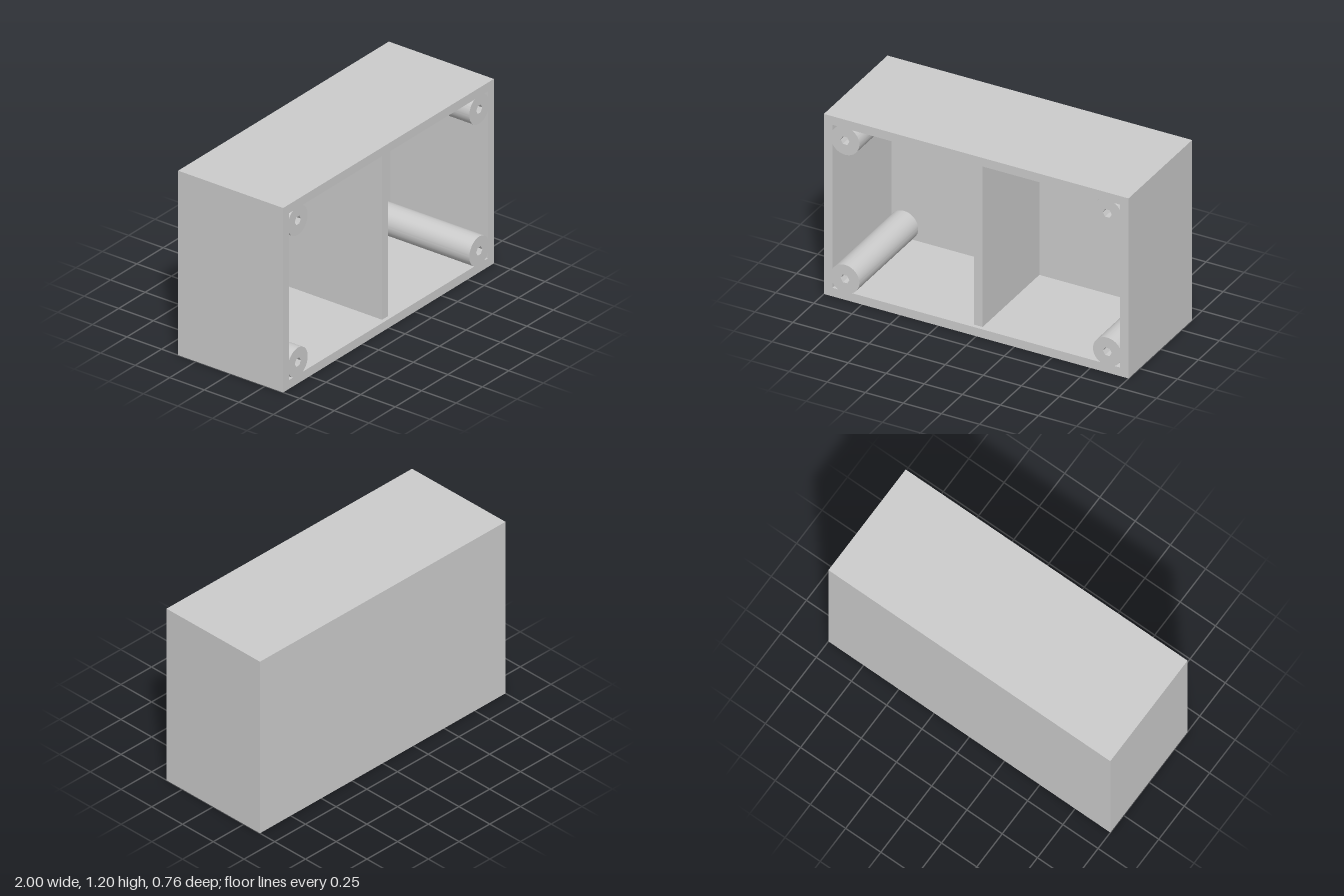
import * as THREE from 'three';
import { toCreasedNormals } from 'three/addons/utils/BufferGeometryUtils.js';

const W = 2, H = 1.2, D = 0.76;      // outer size
const WALL = 0.057;                  // wall and back thickness
const POST_R = 0.094, INSET = 0.082; // post radius, post centre to inner wall
const HOLE_R = 0.029;                // hexagonal screw hole

export function createModel() {
  const group = new THREE.Group();
  group.name = 'dividedBox';
  const material = new THREE.MeshStandardMaterial({ color: 0xcccccc });
  const add = (name, geometry, x, y, z) => {
    const mesh = new THREE.Mesh(geometry, material);
    mesh.name = name;
    mesh.position.set(x, y, z);
    group.add(mesh);
  };

  // Cross-section: outer rectangle minus the cavity, corner gaps and screw holes
  const section = new THREE.Shape([
    new THREE.Vector2(-W / 2, -H / 2), new THREE.Vector2(W / 2, -H / 2),
    new THREE.Vector2(W / 2, H / 2), new THREE.Vector2(-W / 2, H / 2),
  ]);
  const ix = W / 2 - WALL, iy = H / 2 - WALL;
  const a = Math.acos(INSET / POST_R); // where a post meets the walls
  const cavity = new THREE.Path();
  const corners = [[-1, -1], [1, -1], [1, 1], [-1, 1]];
  corners.forEach(([sx, sy], k) => {
    const cx = sx * (ix - INSET), cy = sy * (iy - INSET);
    const turn = k * Math.PI / 2;

    // cavity outline bulges inwards round each post
    cavity.absarc(cx, cy, POST_R, Math.PI - a + turn, -Math.PI / 2 + a + turn, true);

    // small gap between post and box corner
    const gap = new THREE.Path();
    gap.absarc(cx, cy, POST_R, Math.PI + a + turn, Math.PI * 1.5 - a + turn, false);
    gap.lineTo(sx * ix, sy * iy);
    gap.closePath();

    const hole = new THREE.Path();
    const points = [];
    for (let i = 0; i < 6; i++) {
      const t = i * Math.PI / 3;
      points.push(new THREE.Vector2(cx + HOLE_R * Math.cos(t), cy + HOLE_R * Math.sin(t)));
    }
    hole.setFromPoints(points);
    hole.closePath();
    section.holes.push(gap, hole);
  });
  cavity.closePath();
  section.holes.push(cavity);

  // Walls with the four corner posts
  const walls = new THREE.ExtrudeGeometry(section, {
    depth: D - WALL, bevelEnabled: false, curveSegments: 24,
  });
  add('wallsAndPosts', toCreasedNormals(walls, 0.5), 0, H / 2, -D / 2 + WALL);

  // Closed back
  add('backPanel', new THREE.BoxGeometry(W, H, WALL), 0, H / 2, -D / 2 + WALL / 2);

  // Middle divider, set slightly behind the front rim
  const recess = 0.025, depth = D - WALL - recess;
  add('divider', new THREE.BoxGeometry(WALL, 2 * iy, depth), 0, H / 2, -D / 2 + WALL + depth / 2);

  return group;
}
